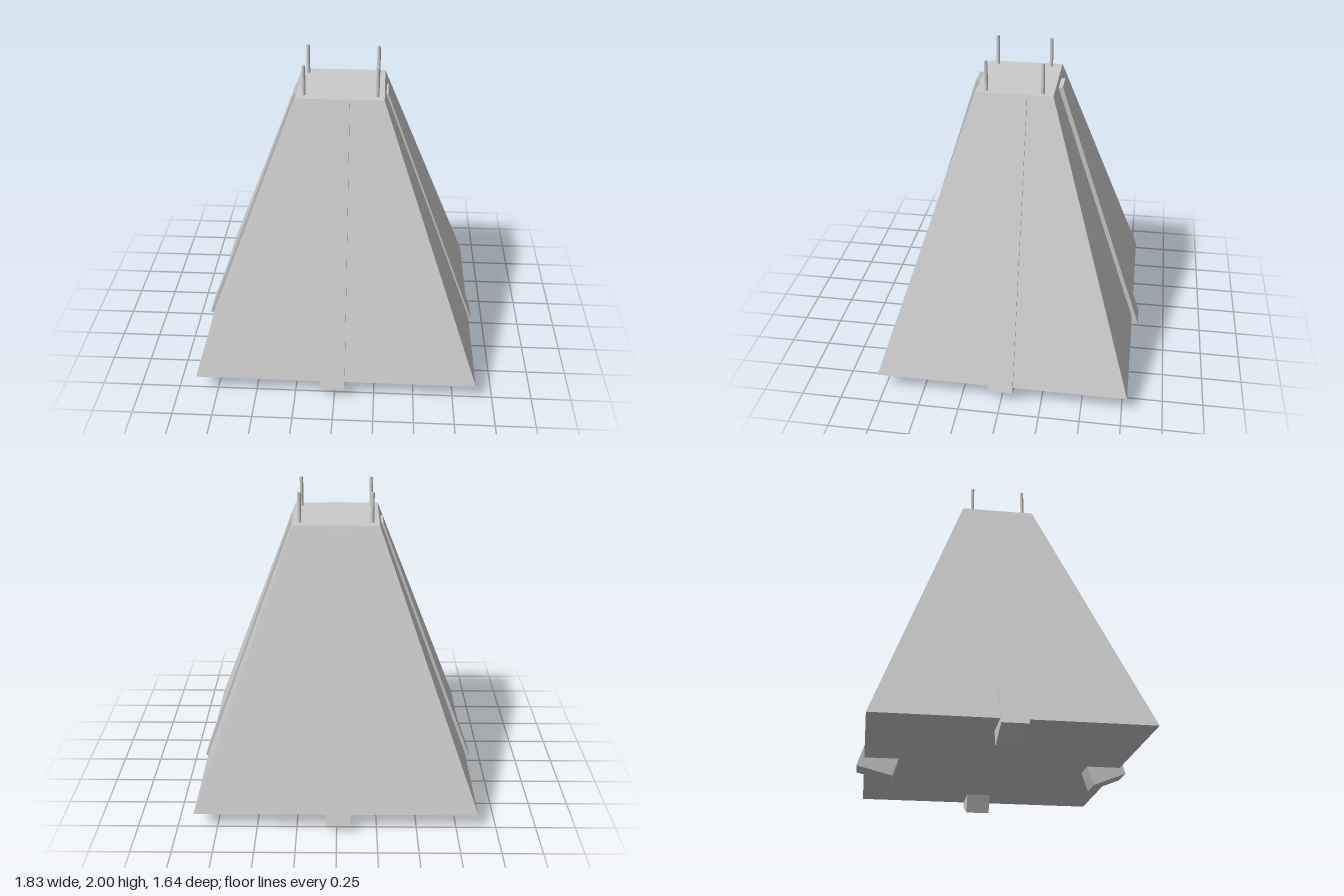
import * as THREE from 'three';

const material = new THREE.MeshStandardMaterial({ color: 0xcccccc, flatShading: true });

function add(group, name, geometry) {
  const mesh = new THREE.Mesh(geometry, material);
  mesh.name = name;
  group.add(mesh);
  return mesh;
}

// Four-sided tower tapering from a wide base to a small deck
function taperedBody() {
  const base = { y: 0.12, x: [-0.88, 0.89], z: [-0.78, 0.785] };
  const deck = { y: 1.815, x: [-0.255, 0.27], z: [-0.23, 0.235] };
  const geometry = new THREE.BoxGeometry(1, 1, 1);
  const p = geometry.attributes.position;
  for (let i = 0; i < p.count; i++) {
    const end = p.getY(i) > 0 ? deck : base;
    p.setXYZ(i, end.x[p.getX(i) > 0 ? 1 : 0], end.y, end.z[p.getZ(i) > 0 ? 1 : 0]);
  }
  geometry.computeVertexNormals();
  return geometry;
}

// Slanted beam: foot = outer bottom edge, head = outer top edge, heel = inner
// bottom edge, as [distance from axis, height]; twist = sideways lean
function beam(foot, head, heel, twist = 0) {
  const innerHead = [head[0] + heel[0] - foot[0], head[1] + heel[1] - foot[1]];
  const shape = new THREE.Shape([foot, head, innerHead, heel].map(q => new THREE.Vector2(...q)));
  const geometry = new THREE.ExtrudeGeometry(shape, { depth: 0.152, bevelEnabled: false });
  geometry.translate(0, 0, -0.076);
  const p = geometry.attributes.position;
  for (let i = 0; i < p.count; i++) p.setZ(i, p.getZ(i) + twist * (p.getY(i) / 1.8 - 0.5));
  geometry.computeVertexNormals();
  return geometry;
}

export function createModel() {
  const model = new THREE.Group();
  model.name = 'taperedTower';

  add(model, 'body', taperedBody());

  // One supporting beam down the middle of every side
  const beams = [
    ['leftBeam', 0, [0, 0], beam([0.912, 0.095], [0.292, 1.79], [0.71, 0.005])],
    ['rightBeam', Math.PI, [0, 0.004], beam([0.916, 0.085], [0.282, 1.78], [0.705, 0.02], -0.02)],
    ['frontBeam', -Math.PI / 2, [-0.01, 0], beam([0.82, 0.085], [0.268, 1.807], [0.615, 0.005])],
    ['backBeam', Math.PI / 2, [-0.01, 0], beam([0.824, 0.07], [0.265, 1.792], [0.61, 0.015])],
  ];
  for (const [name, turn, [x, z], geometry] of beams) {
    const mesh = add(model, name, geometry);
    mesh.rotation.y = turn;
    mesh.position.set(x, 0, z);
  }

  // Thin pins at the corners of the deck
  for (const x of [-0.211, 0.228]) {
    for (const z of [-0.163, 0.175]) {
      add(model, 'pin', new THREE.CylinderGeometry(0.011, 0.011, 0.2, 12)).position.set(x, 1.9, z);
    }
  }
  return model;
}
